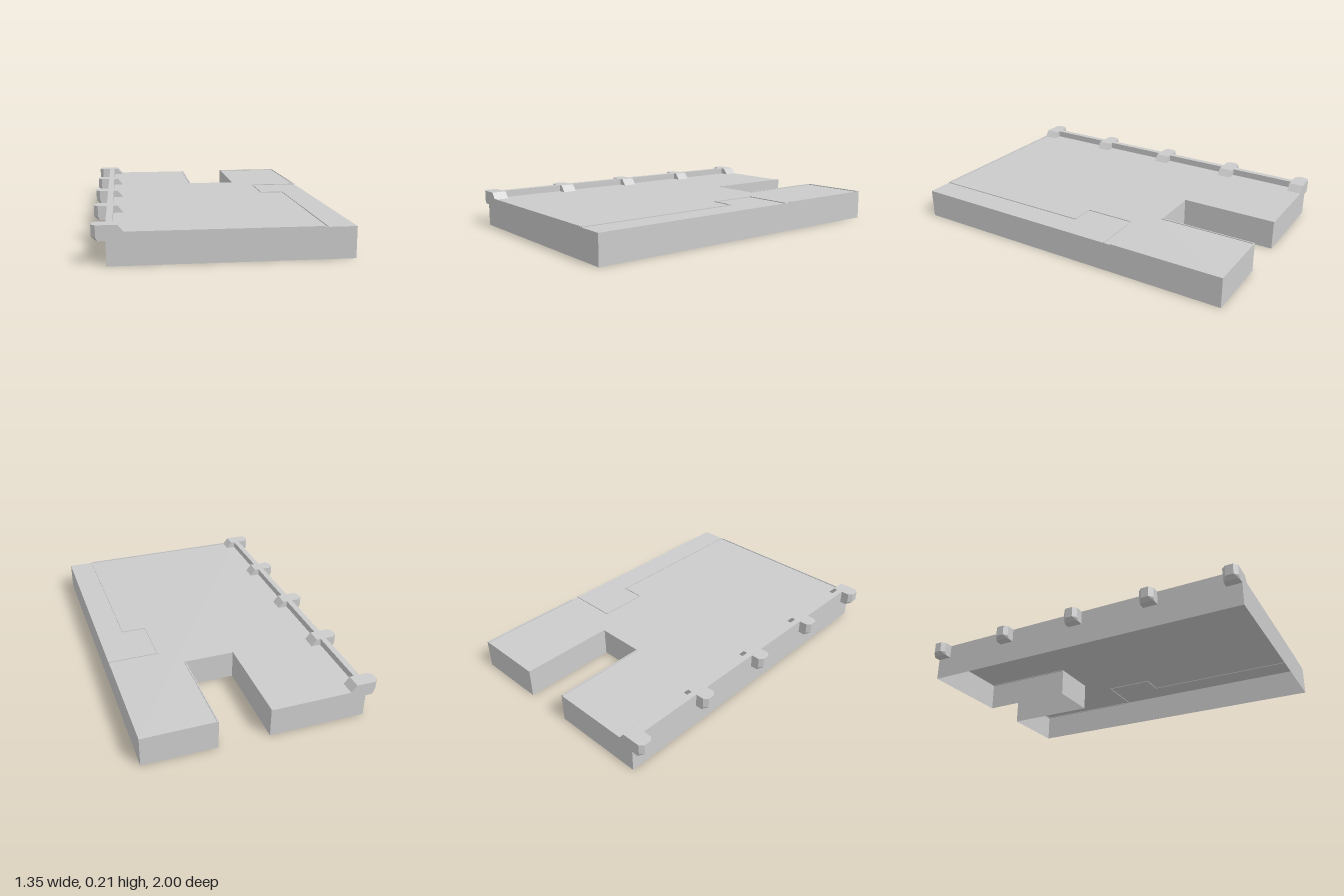
import * as THREE from 'three';
import { ConvexGeometry } from 'three/addons/geometries/ConvexGeometry.js';

const material = new THREE.MeshStandardMaterial({ color: 0xcccccc, flatShading: true, side: THREE.DoubleSide });
const TOP = 0.17, RAIL = 0.21;

function add(parent, name, geometry, x = 0, y = 0, z = 0) {
  const mesh = new THREE.Mesh(geometry, material);
  mesh.name = name;
  mesh.position.set(x, y, z);
  parent.add(mesh);
  return mesh;
}

// Box given by its x, y and z ranges
function block(parent, name, x0, x1, y0, y1, z0, z1) {
  return add(parent, name, new THREE.BoxGeometry(x1 - x0, y1 - y0, z1 - z0),
    (x0 + x1) / 2, (y0 + y1) / 2, (z0 + z1) / 2);
}

function hull(points) {
  return new ConvexGeometry(points.map(p => new THREE.Vector3(...p)));
}

export function createModel() {
  const model = new THREE.Group();
  model.name = 'platform';

  // Deck outline (x, z) with the slot in the back edge
  const outline = [[-0.605, 1], [0.672, 1], [0.672, -1], [0.25, -1],
    [0.25, -0.43], [-0.043, -0.43], [-0.043, -1], [-0.605, -1]];
  const shape = new THREE.Shape(outline.map(([x, z]) => new THREE.Vector2(x, -z)));
  add(model, 'deck', new THREE.ShapeGeometry(shape).rotateX(-Math.PI / 2), 0, TOP, 0);

  // Thin skirt walls, open underneath
  const walls = new THREE.Group();
  walls.name = 'skirtWalls';
  model.add(walls);
  outline.forEach(([x0, z0], i) => {
    const [x1, z1] = outline[(i + 1) % outline.length];
    const wall = add(walls, 'skirtWall', new THREE.PlaneGeometry(Math.hypot(x1 - x0, z1 - z0), TOP),
      (x0 + x1) / 2, TOP / 2, (z0 + z1) / 2);
    wall.rotation.y = Math.atan2(z0 - z1, x1 - x0);
  });

  // Narrow raised lips on the deck edges and around the side strip
  const lips = new THREE.Group();
  lips.name = 'deckLips';
  model.add(lips);
  const t = 0.007;
  [
    [-0.55, 0.505, 1 - t, 1],
    [0.515, 0.515 + t, 0, 1],
    [0.375, 0.515 + t, -t, 0],
    [0.375, 0.375 + t, -0.3, 0],
    [0.375, 0.672, -0.3, -0.3 + t],
    [0.672 - t, 0.672, -1, -0.34],
    [0.25, 0.672, -1, -1 + t],
    [0.25, 0.25 + t, -1, -0.43],
    [-0.043 - t, -0.043, -1, -0.43],
  ].forEach(([x0, x1, z0, z1]) => block(lips, 'deckLip', x0, x1, TOP - 0.004, TOP + 0.005, z0, z1));

  // Long rail on the right edge
  block(model, 'sideRail', -0.605, -0.57, TOP, RAIL, -1, 1);

  // Overhanging posts: chamfered outer end and sloped inner foot
  const w = 0.043, n = 0.022;
  const outer = [], inner = [];
  for (const s of [-1, 1]) {
    for (const y of [0.15, RAIL]) outer.push([-0.677, y, s * n], [-0.655, y, s * w]);
    outer.push([-0.605, RAIL, s * w], [-0.605, 0.13, s * w], [-0.655, 0.13, s * n], [-0.645, 0.13, s * w]);
    inner.push([-0.605, RAIL, s * w], [-0.605, TOP, s * w], [-0.545, RAIL, s * w], [-0.513, TOP, s * w]);
  }
  const outerGeometry = hull(outer), innerGeometry = hull(inner);
  for (let i = -2; i <= 2; i++) {
    const post = new THREE.Group();
    post.name = 'railPost';
    post.position.z = i * 0.4785;
    model.add(post);
    add(post, 'postHead', outerGeometry);
    add(post, 'postFoot', innerGeometry);
  }

  return model;
}
